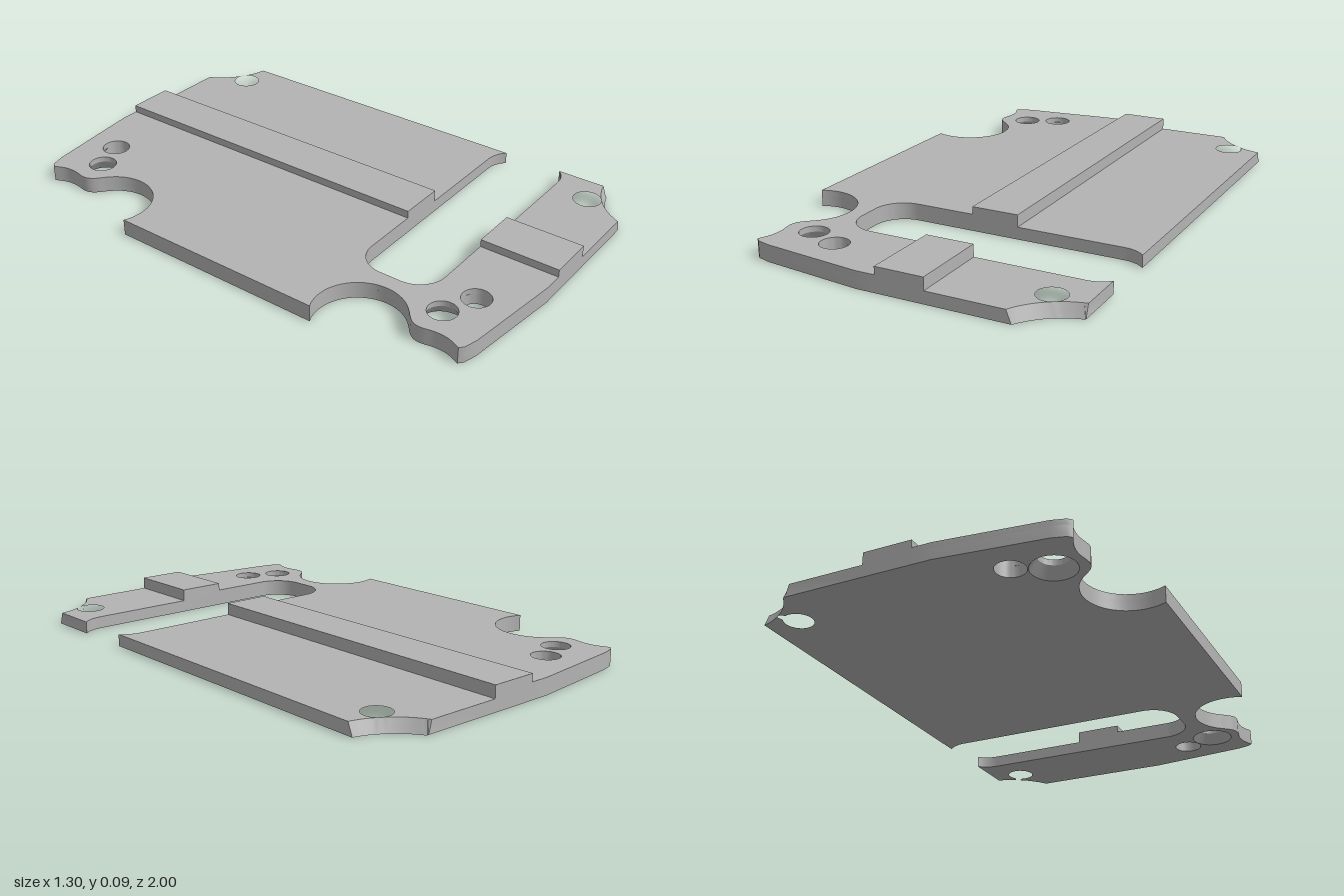
import * as THREE from 'three';
import { toCreasedNormals } from 'three/addons/utils/BufferGeometryUtils.js';

const grey = new THREE.MeshStandardMaterial({ color: 0xb3b3b3 });
grey.name = 'plain grey';

// Plan points are [x, z]
const arc = (cx, cz, r, fromDeg, toDeg, n = 16) =>
  Array.from({ length: n + 1 }, (_, i) => {
    const a = THREE.MathUtils.degToRad(fromDeg + (toDeg - fromDeg) * i / n);
    return [cx + r * Math.cos(a), cz + r * Math.sin(a)];
  });
const mirrorZ = pts => pts.map(([x, z]) => [x, -z]).reverse();
const toVec = pts => pts.map(([x, z]) => new THREE.Vector2(x, -z));

// Slab from y0 to y1 with round holes [x, z, r]; "move" may shift vertices
function slab(name, outline, holes, y0, y1, move) {
  const shape = new THREE.Shape(toVec(outline));
  for (const [x, z, r] of holes) {
    shape.holes.push(new THREE.Path(toVec(arc(x, z, r, 0, 360, 40).slice(0, -1))));
  }
  let geo = new THREE.ExtrudeGeometry(shape, { depth: y1 - y0, bevelEnabled: false });
  geo.rotateX(-Math.PI / 2).translate(0, y0, 0);
  if (move) {
    const p = geo.attributes.position, v = new THREE.Vector3();
    for (let i = 0; i < p.count; i++) {
      move(v.fromBufferAttribute(p, i));
      p.setXYZ(i, v.x, v.y, v.z);
    }
  }
  geo = toCreasedNormals(geo, 0.5);
  const mesh = new THREE.Mesh(geo, grey);
  mesh.name = name;
  return mesh;
}

const LEFT = -0.016, RIGHT = 0.166, SIDE = 0.65;   // step edges and half width
const SLOT0 = 0.39, SLOT1 = 0.695, SLOT_R = 0.11;  // cross slot
const HOLE = 0.053, SINK = 0.08, SINK_TOP = 0.042; // screw holes
const LOW = 0.046, MID = 0.063, HIGH = 0.092;      // step heights

export function createModel() {
  const model = new THREE.Group();
  model.name = 'steppedPlate';

  // Thick side: round bites in the edge, wavy corners and the slot's round end
  const wave = new THREE.SplineCurve([
    [-0.477, 0.702], [-0.513, 0.735], [-0.526, 0.772], [-0.517, 0.83], [-0.521, 0.88], [-0.54, 0.927],
  ].map(p => new THREE.Vector2(...p))).getPoints(20).map(v => [v.x, v.y]);
  const frontEdge = [
    ...arc(-0.58, 0.575, 0.163, -115.5, 50, 28), ...wave,
    [-0.525, 0.941], [-0.475, 0.955], [-0.09, 1], [LEFT, 1],
  ];
  frontEdge[0] = [-SIDE, 0.428];
  const thickOutline = [
    ...frontEdge,
    [LEFT, SLOT1],
    ...arc(-0.245, SLOT1 - SLOT_R, SLOT_R, 90, 180),
    ...arc(-0.245, SLOT0 + SLOT_R, SLOT_R, 180, 270),
    [LEFT, SLOT0],
    ...mirrorZ(frontEdge),
  ];
  const thickHoles = r => [-1, 1].flatMap(s => [[-0.41, s * 0.787, r], [-0.285, s * 0.841, HOLE]]);

  // Lower layer carries the countersinks, which narrow upwards
  model.add(slab('thickSideLower', thickOutline, thickHoles(SINK), 0, SINK_TOP, v => {
    if (v.y < SINK_TOP / 2) return;
    const cz = Math.sign(v.z) * 0.787, dx = v.x + 0.41, dz = v.z - cz;
    if (Math.abs(Math.hypot(dx, dz) - SINK) < 0.0005) {
      v.x = -0.41 + dx * HOLE / SINK;
      v.z = cz + dz * HOLE / SINK;
    }
  }));
  model.add(slab('thickSideUpper', thickOutline, thickHoles(HOLE), SINK_TOP, MID));

  // Raised rib, cut by the slot
  for (const [name, z0, z1] of [['ribMain', -1, SLOT0], ['ribFront', SLOT1, 1]]) {
    const rib = new THREE.Mesh(new THREE.BoxGeometry(RIGHT - LEFT, HIGH, z1 - z0), grey);
    rib.position.set((LEFT + RIGHT) / 2, HIGH / 2, (z0 + z1) / 2);
    rib.name = name;
    model.add(rib);
  }

  // Thin side: scooped outer corners whose walls slope outwards to the bottom
  const scoop = arc(0.7, 1.12, 0.276, -100.4, -154.2, 20);
  scoop[0][0] = SIDE;
  scoop[20][1] = 1;
  const slopeScoop = v => {
    const s = Math.sign(v.z), z = Math.abs(v.z);
    if (v.y < 0.001 && Math.hypot(v.x - 0.7, z - 1.12) < 0.278) {
      v.x = Math.min(SIDE, v.x + 0.012);
      v.z = s * Math.min(1, z + 0.016);
    }
  };
  model.add(slab('thinSideMain', [
    [RIGHT, -1], ...mirrorZ(scoop),
    ...arc(0.57, SLOT0 + SLOT_R, SLOT_R, -43.3, -90, 8), [RIGHT, SLOT0],
  ], [[0.525, -0.841, HOLE]], 0, LOW, slopeScoop));
  model.add(slab('thinSideFront', [
    [RIGHT, SLOT1], ...arc(0.57, SLOT1 - SLOT_R, SLOT_R, 90, 43.3, 8),
    ...scoop, [RIGHT, 1],
  ], [[0.525, 0.841, HOLE]], 0, LOW, slopeScoop));

  return model;
}
